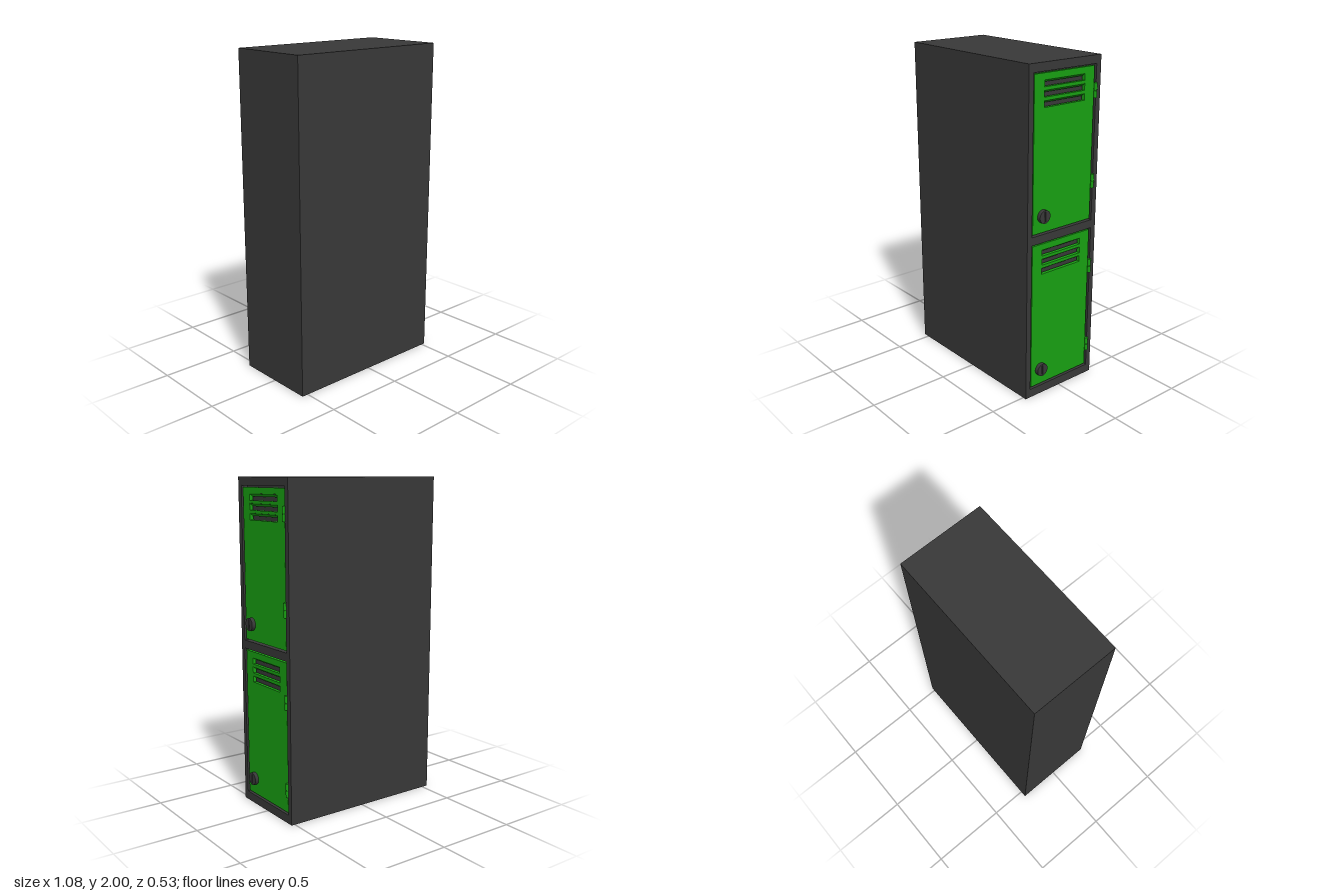
import * as THREE from 'three';

const grey = new THREE.MeshStandardMaterial({ color: 0x383838 });
const green = new THREE.MeshStandardMaterial({ color: 0x18a012 });

const FACE = 0.523;        // outer plane of the door side (+x)
const BACK = -0.54;
const HALF_Z = 0.267;
const PANEL = 0.48;        // plane behind the doors
const DOOR_FACE = 0.517;
const DOOR_DEPTH = 0.022;

function add(parent, name, geometry, material, x = 0, y = 0, z = 0) {
  const mesh = new THREE.Mesh(geometry, material);
  mesh.name = name;
  mesh.position.set(x, y, z);
  parent.add(mesh);
  return mesh;
}

// Rectangle outline, u runs along -z
function rect(u0, u1, y0, y1, Type = THREE.Path) {
  return new Type([[u0, y0], [u1, y0], [u1, y1], [u0, y1]].map(p => new THREE.Vector2(...p)));
}

// Flat panel drawn in (u, y) and extruded toward +x
function plate(shape, depth, segments = 24) {
  return new THREE.ExtrudeGeometry(shape, { depth, bevelEnabled: false, curveSegments: segments })
    .rotateY(Math.PI / 2);
}

// One door with louvres, hinges and a round lock; y0 and y1 bound the opening
function makeDoor(name, y0, y1, lockY, hingeYs) {
  const door = new THREE.Group();
  door.name = name;

  // Panel pierced by three vent slots
  const shape = rect(-0.223, 0.223, y0 + 0.01, y1 - 0.01, THREE.Shape);
  const slots = [0, 1, 2].map(i => y1 - 0.065 - i * 0.056);
  for (const y of slots) shape.holes.push(rect(-0.15, 0.15, y - 0.02, y + 0.02));
  add(door, 'doorPanel', plate(shape, DOOR_DEPTH), green, DOOR_FACE - DOOR_DEPTH);

  // Slanted louvre hanging in the top of each slot
  for (const y of slots) {
    const slat = add(door, 'louvre', new THREE.BoxGeometry(0.026, 0.003, 0.3), green,
      DOOR_FACE - 0.012, y + 0.011, 0);
    slat.rotation.z = 0.6;
  }

  // Hinges: two knuckles on a thin pin
  for (const y of hingeYs) {
    const hinge = new THREE.Group();
    hinge.name = 'hinge';
    hinge.position.set(0.525, y, -0.228);
    for (const s of [-1, 1]) {
      add(hinge, 'knuckle', new THREE.CylinderGeometry(0.01, 0.01, 0.04, 16), green, 0, s * 0.0225, 0);
    }
    add(hinge, 'pin', new THREE.CylinderGeometry(0.005, 0.005, 0.08, 10), green);
    door.add(hinge);
  }

  // Round lock with a narrow vertical slot
  const disc = new THREE.Shape().absarc(0, 0, 0.039, 0, Math.PI * 2);
  disc.holes.push(rect(-0.004, 0.004, -0.03, 0.03));
  add(door, 'lock', plate(disc, 0.54 - DOOR_FACE), grey, DOOR_FACE, lockY, 0.15);
  return door;
}

export function createModel() {
  const model = new THREE.Group();
  model.name = 'locker';

  // Cabinet body
  add(model, 'cabinet', new THREE.BoxGeometry(PANEL - BACK, 2, HALF_Z * 2), grey, (PANEL + BACK) / 2, 1, 0);

  // Frame around the two door openings
  const openings = [[0.053, 0.977], [1.027, 1.951]];
  const frame = rect(-HALF_Z, HALF_Z, 0, 2, THREE.Shape);
  for (const [y0, y1] of openings) frame.holes.push(rect(-0.233, 0.233, y0, y1));
  add(model, 'frame', plate(frame, FACE - PANEL), grey, PANEL);

  model.add(makeDoor('lowerDoor', ...openings[0], 0.163, [0.205, 0.735]));
  model.add(makeDoor('upperDoor', ...openings[1], 1.136, [1.27, 1.803]));
  return model;
}
